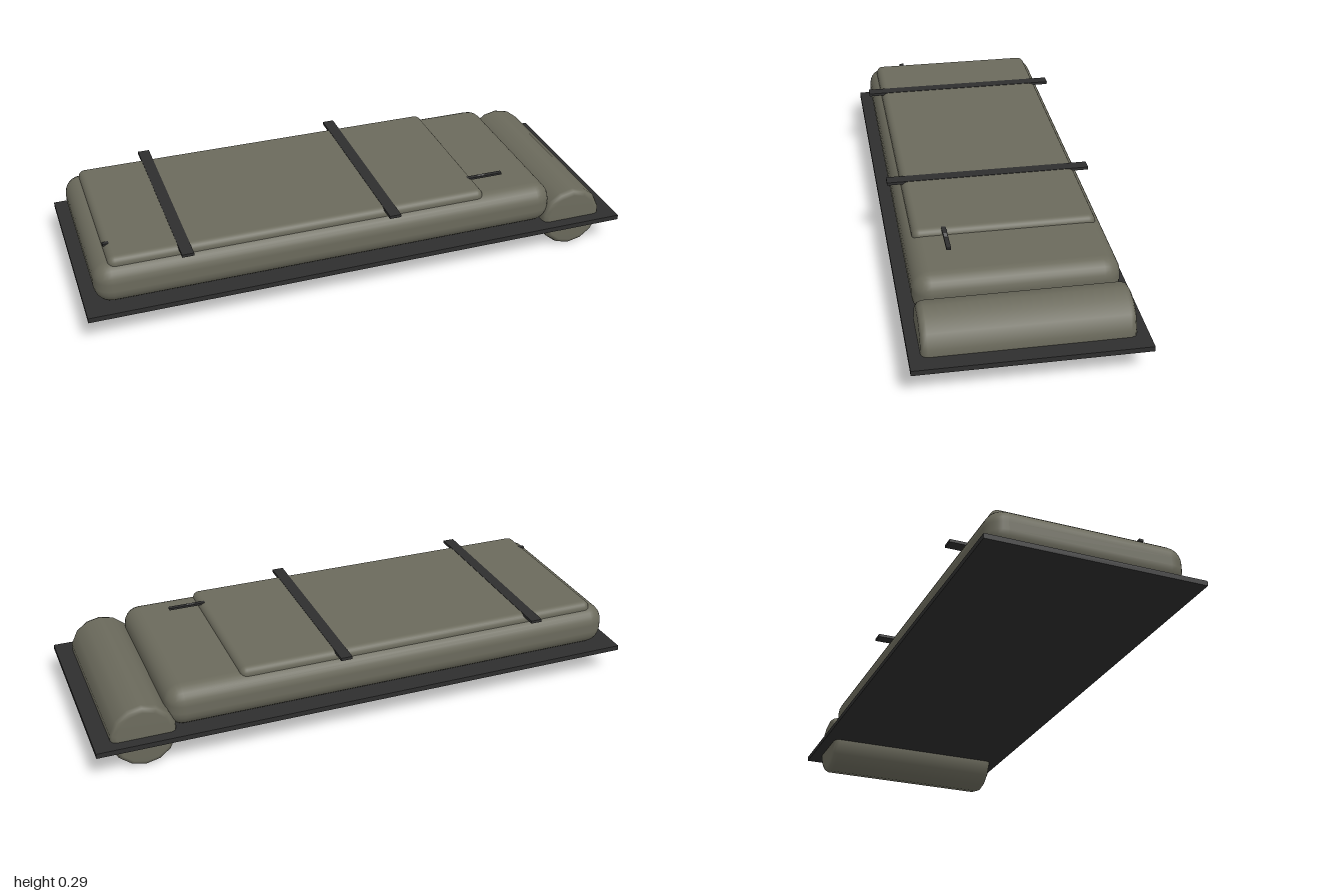
import * as THREE from 'three';
import { RoundedBoxGeometry } from 'three/addons/geometries/RoundedBoxGeometry.js';

const material = (name, color) => {
  const m = new THREE.MeshStandardMaterial({ color });
  m.name = name;
  return m;
};

export function createModel() {
  const olive = material('olive fabric', 0x6b6a5c);
  const dark = material('dark webbing', 0x2e2e2e);
  const metal = material('grey metal', 0x666666);

  const group = new THREE.Group();
  group.name = 'sleepingBag';

  const add = (name, geometry, mat, x, y, z) => {
    const mesh = new THREE.Mesh(geometry, mat);
    mesh.name = name;
    mesh.position.set(x, y, z);
    group.add(mesh);
    return mesh;
  };
  // Boxes given by their limits on each axis; a radius rounds the edges
  const block = (name, mat, [x0, x1], [y0, y1], [z0, z1], radius = 0) => {
    const size = [x1 - x0, y1 - y0, z1 - z0];
    const geometry = radius
      ? new RoundedBoxGeometry(...size, 3, radius)
      : new THREE.BoxGeometry(...size);
    return add(name, geometry, mat, (x0 + x1) / 2, (y0 + y1) / 2, (z0 + z1) / 2);
  };

  // Ground mat
  block('mat', dark, [-1, 1], [0.1, 0.118], [-0.39, 0.39]);

  // Padded bag and the thinner cover quilt on top
  block('bagBody', olive, [-0.96, 0.74], [0.115, 0.267], [-0.35, 0.35], 0.062);
  block('coverQuilt', olive, [-0.905, 0.47], [0.2, 0.288], [-0.32, 0.32], 0.025);

  // Pillow roll with softened ends, lying across the head of the mat
  const profile = [[0, -0.35], [0.097, -0.35], [0.111, -0.343], [0.117, -0.328],
    [0.117, 0.328], [0.111, 0.343], [0.097, 0.35], [0, 0.35]]
    .map(([r, l]) => new THREE.Vector2(r, l));
  const roll = add('pillowRoll', new THREE.LatheGeometry(profile, 14), olive, 0.826, 0.118, 0);
  roll.rotation.x = Math.PI / 2;

  // Straps across the cover
  for (const [name, x] of [['footStrap', -0.643], ['chestStrap', 0.103]]) {
    block(name, dark, [x - 0.021, x + 0.021], [0.279, 0.2895], [-0.372, 0.372]);
  }

  // Zip along the front, mostly sunk into the cover, and its pull
  block('zip', dark, [-0.905, 0.585], [0.28, 0.2875], [0.203, 0.219]);
  block('zipPull', metal, [0.492, 0.518], [0.282, 0.2885], [0.206, 0.216]);

  return group;
}
